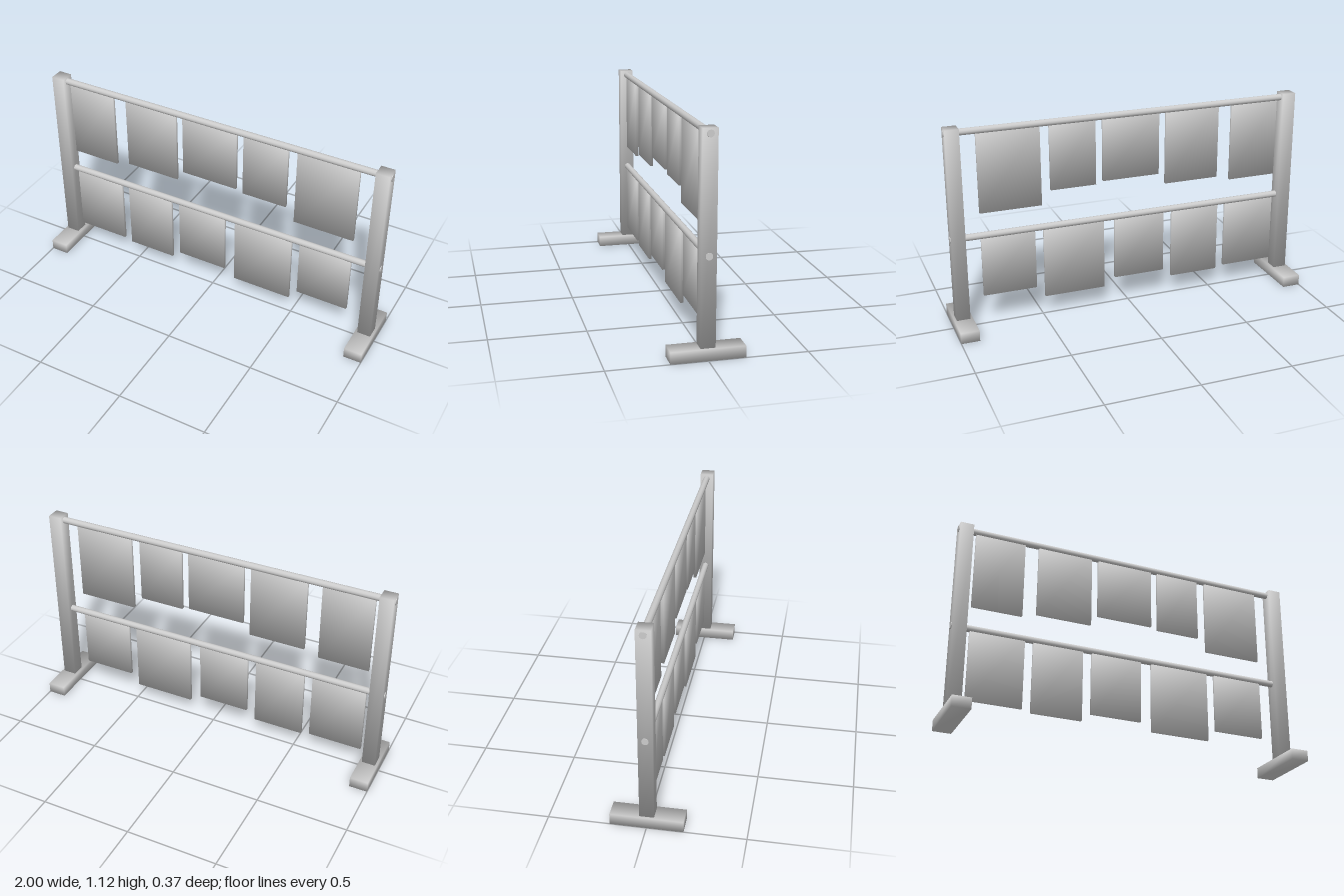
import * as THREE from 'three';

const grey = new THREE.MeshStandardMaterial({ color: 0xcccccc });
grey.name = 'plain grey';

// Box whose normals are shared at the corners, for soft shading over the edges
function softBox(name, w, h, d, x, y, z) {
  const geometry = new THREE.BoxGeometry(w, h, d);
  const p = geometry.attributes.position;
  const n = geometry.attributes.normal;
  const k = 1 / Math.sqrt(3);
  for (let i = 0; i < p.count; i++) {
    n.setXYZ(i, Math.sign(p.getX(i)) * k, Math.sign(p.getY(i)) * k, Math.sign(p.getZ(i)) * k);
  }
  const mesh = new THREE.Mesh(geometry, grey);
  mesh.name = name;
  mesh.position.set(x, y, z);
  return mesh;
}

// Each rail: height, and its cloths as [left edge, right edge, bottom]
const rails = [
  {
    name: 'upper', y: 1.093,
    cloths: [[-0.89, -0.612, 0.644], [-0.532, -0.219, 0.671], [-0.179, 0.144, 0.733],
      [0.184, 0.438, 0.719], [0.489, 0.826, 0.642]],
  },
  {
    name: 'lower', y: 0.515,
    cloths: [[-0.89, -0.591, 0.118], [-0.543, -0.262, 0.104], [-0.211, 0.078, 0.15],
      [0.142, 0.484, 0.104], [0.532, 0.826, 0.168]],
  },
];

export function createModel() {
  const rack = new THREE.Group();
  rack.name = 'clothRack';

  // Feet and posts on both sides
  for (const side of [-1, 1]) {
    const label = side > 0 ? 'left' : 'right';
    rack.add(softBox(label + 'Foot', 0.1, 0.06, 0.372, side * 0.95, 0.03, 0));
    rack.add(softBox(label + 'Post', 0.074, 1.07, 0.074, side * 0.951, 0.583, 0));
  }

  // Rails running through the posts, with hanging cloths
  for (const { name, y, cloths } of rails) {
    const rail = new THREE.Mesh(new THREE.CylinderGeometry(0.018, 0.018, 1.984, 12), grey);
    rail.name = name + 'Rail';
    rail.rotation.z = Math.PI / 2;
    rail.position.y = y;
    rack.add(rail);

    cloths.forEach(([x0, x1, bottom], i) => {
      rack.add(softBox(name + 'Cloth' + (i + 1), x1 - x0, y - bottom, 0.016,
        (x0 + x1) / 2, (y + bottom) / 2, 0));
    });
  }
  return rack;
}
